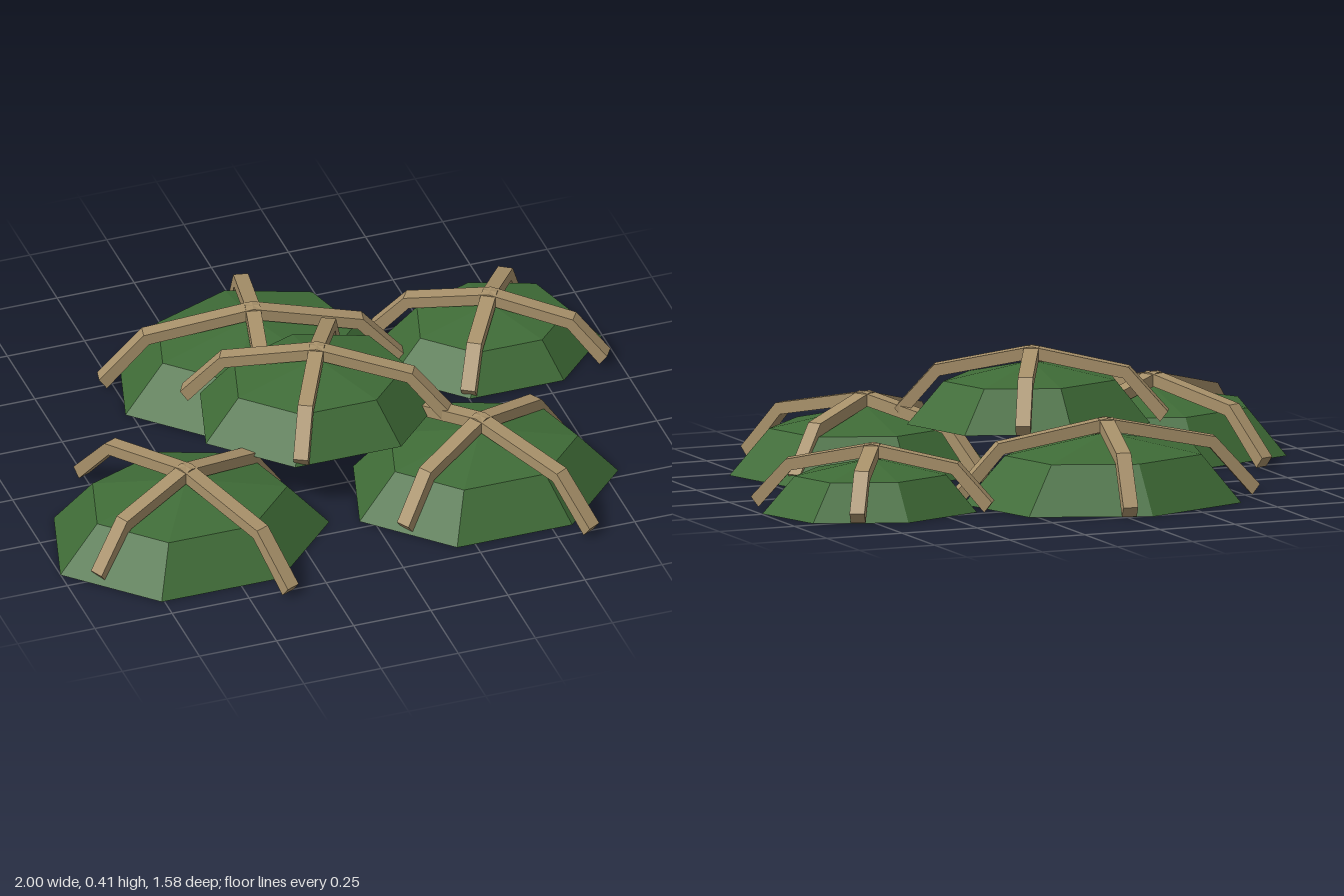
import * as THREE from 'three';

const leafGreen = new THREE.MeshStandardMaterial({ color: 0x3f6c37, flatShading: true, side: THREE.DoubleSide });
leafGreen.name = 'leaf green';
const bambooTan = new THREE.MeshStandardMaterial({ color: 0xa8916a, flatShading: true });
bambooTan.name = 'bamboo tan';

const RIB_WIDTH = 0.046;

// Open seven-sided shell: rim, shoulder ring and apex, with one corner facing back
function makeDome(rx, rz, h) {
  const k = Math.SQRT1_2;
  const profile = [[1, 0], [k, k], [0, 1]].map(([r, y]) => new THREE.Vector2(r, y));
  const geo = new THREE.LatheGeometry(profile, 7, Math.PI).scale(rx, h, rz).toNonIndexed();
  geo.computeVertexNormals();
  const dome = new THREE.Mesh(geo, leafGreen);
  dome.name = 'dome';
  return dome;
}

// Bent flat bar that runs over the dome from rim to rim
function makeRib(r, h) {
  const k = Math.SQRT1_2;
  const outer = [[r + 0.024, 0.035], [r * k + 0.019, h * k + 0.04], [0, h + 0.046]];
  const inner = [[0, h + 0.008], [r * k + 0.002, h * k + 0.006], [r, 0.003]];
  const mirror = (pts) => pts.filter((p) => p[0] > 0).map(([x, y]) => [-x, y]).reverse();
  const outline = [...outer, ...mirror(outer), ...mirror(inner), ...inner];
  const shape = new THREE.Shape(outline.map(([x, y]) => new THREE.Vector2(x, y)));
  const geo = new THREE.ExtrudeGeometry(shape, { depth: RIB_WIDTH, bevelEnabled: false });
  geo.translate(0, 0, -RIB_WIDTH / 2);
  return new THREE.Mesh(geo, bambooTan);
}

// One canopy: shell with a long and a short rib crossing at the apex
function makeCanopy({ name, pos, rx, rz, h, turn }) {
  const canopy = new THREE.Group();
  canopy.name = name;
  canopy.add(makeDome(rx, rz, h));
  const angle = -THREE.MathUtils.degToRad(turn);
  [['longRib', rx, 0], ['shortRib', rz, Math.PI / 2]].forEach(([ribName, r, extra]) => {
    const rib = makeRib(r, h);
    rib.name = ribName;
    rib.rotation.y = angle + extra;
    canopy.add(rib);
  });
  canopy.position.set(...pos);
  return canopy;
}

const CANOPIES = [
  { name: 'frontRightCanopy', pos: [-0.565, 0, 0.358], rx: 0.447, rz: 0.358, h: 0.205, turn: 65.5 },
  { name: 'backCanopy', pos: [-0.078, 0, -0.405], rx: 0.452, rz: 0.362, h: 0.207, turn: 12 },
  { name: 'smallLeftCanopy', pos: [0.655, 0, -0.304], rx: 0.349, rz: 0.277, h: 0.16, turn: 32.5 },
  { name: 'raisedCentreCanopy', pos: [-0.043, 0.175, 0.083], rx: 0.395, rz: 0.317, h: 0.184, turn: 28 },
  { name: 'frontLeftCanopy', pos: [0.378, 0, 0.39], rx: 0.43, rz: 0.346, h: 0.2, turn: 59.5 },
];

export function createModel() {
  const model = new THREE.Group();
  model.name = 'canopyCluster';
  CANOPIES.forEach((c) => model.add(makeCanopy(c)));
  return model;
}
